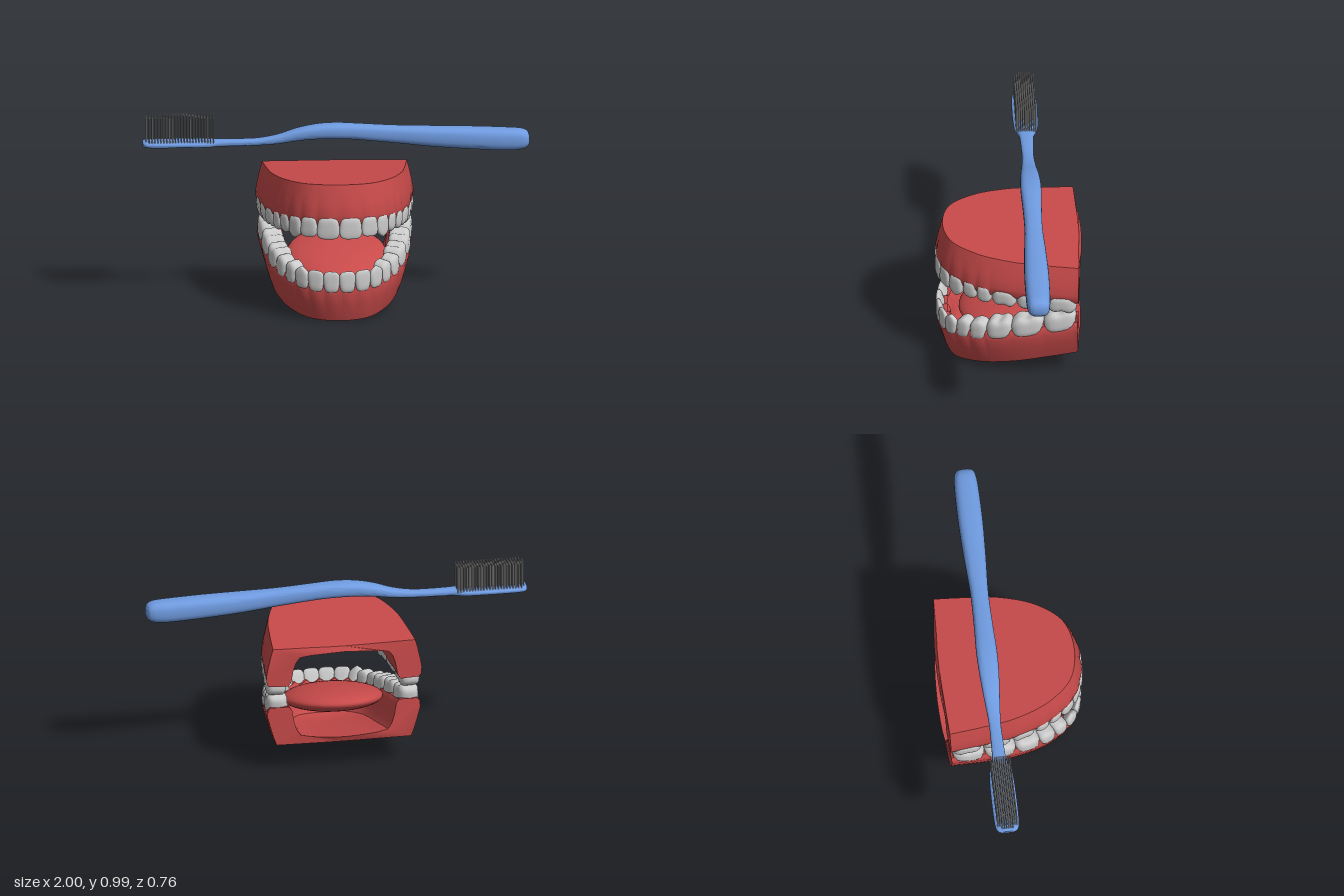
import * as THREE from 'three';
import { mergeGeometries, mergeVertices, toCreasedNormals } from 'three/addons/utils/BufferGeometryUtils.js';

const V = (x, y, z) => new THREE.Vector3(x, y, z);
const { lerp, smoothstep } = THREE.MathUtils;
const mat = (color) => new THREE.MeshStandardMaterial({ color });
const gumMat = mat(0xc84a4a), toothMat = mat(0xcccccc), brushMat = mat(0x6f9be0), bristleMat = mat(0xcccccc);

function add(group, name, geometry, material) {
  const mesh = new THREE.Mesh(geometry, material);
  mesh.name = name;
  group.add(mesh);
  return mesh;
}

// Surface through rows of points, with optional extra triangles [row, a, b, c]
function grid(rows, flip = false, caps = []) {
  const n = rows[0].length, index = [];
  const tri = (a, b, c) => (flip ? index.push(a, c, b) : index.push(a, b, c));
  for (let i = 0; i < rows.length - 1; i++) {
    for (let j = 0; j < n - 1; j++) {
      const a = i * n + j, b = a + n;
      tri(a, b, a + 1);
      tri(b, b + 1, a + 1);
    }
  }
  caps.forEach(([r, a, b, c]) => index.push(r * n + a, r * n + b, r * n + c));
  const g = new THREE.BufferGeometry().setFromPoints(rows.flat());
  g.setIndex(index);
  return g;
}

// Dental arch seen from above, from the right end to the left end
const half = [[0.41, -0.35], [0.395, -0.18], [0.37, 0], [0.3, 0.19], [0.18, 0.328]];
const arch = new THREE.CatmullRomCurve3([
  ...half.map(([x, z]) => V(-x, 0, z)), V(0, 0, 0.373), ...half.reverse().map(([x, z]) => V(x, 0, z)),
]);
arch.arcLengthDivisions = 600;
const halfLength = arch.getLength() / 2;

// dir is the way the teeth point; base and gum are heights [at z = 0, slope in z]
const jaws = {
  upper: {
    dir: -1, size: 1, base: [0.712, 0.068], gum: [0.513, 0.065],
    profile: [[0.036, 0], [0.024, 0.22], [0.012, 0.5], [0.003, 0.78], [0.006, 0.95]],
    widths: [0.115, 0.09, 0.085, 0.08, 0.08, 0.13, 0.15, 0.155],
    heights: [0.085, 0.075, 0.088, 0.08, 0.08, 0.075, 0.075, 0.078],
  },
  lower: {
    dir: 1, size: 0.985, base: [0.075, -0.22], gum: [0.275, -0.22],
    profile: [[0.05, 0], [0.034, 0.22], [0.018, 0.5], [0.004, 0.8], [0.006, 0.95]],
    widths: [0.08, 0.08, 0.078, 0.08, 0.09, 0.13, 0.16, 0.16],
    heights: [0.08, 0.08, 0.085, 0.085, 0.083, 0.083, 0.085, 0.085],
  },
};

// Point, outward direction and fraction from the middle at arc distance s (negative = right)
function frame(jaw, s) {
  const u = THREE.MathUtils.clamp(0.5 + s / halfLength / 2, 0, 1);
  const p = arch.getPointAt(u), t = arch.getTangentAt(u);
  p.x *= jaw.size; p.z *= jaw.size;
  return { p, out: V(-t.z, 0, t.x), a: Math.abs(s) / halfLength };
}
const height = ([y, slope], z) => y + slope * z;

function toothEdges(jaw) {
  const total = jaw.widths.reduce((a, b) => a + b, 0), k = (halfLength - 0.008) / total;
  const edges = [0];
  jaw.widths.forEach((w) => edges.push(edges.at(-1) + w * k));
  return edges;
}

// Horseshoe gum with its base plate and hollow vault
function gumGeometry(jaw) {
  const edges = toothEdges(jaw), rows = [], N = 200;
  for (let i = 0; i <= N; i++) {
    const s = (i / N * 2 - 1) * halfLength, { p, out, a } = frame(jaw, s);
    const k = Math.min(7, Math.max(0, edges.findIndex((e) => e > Math.abs(s)) - 1));
    const f = Math.min(1, (Math.abs(s) - edges[k]) / (edges[k + 1] - edges[k]));
    const arc = a > 0.99 ? 0.8 : Math.sin(Math.PI * f), soft = k < 5 ? 1 : 0.4;
    const place = (v, t, extra = 0) => {
      if (v.z < -0.25) v.z -= 0.014 * Math.max(0, 1 - (v.x / 0.25) ** 2) * Math.min(1, (-0.25 - v.z) * 10);
      v.y = lerp(height(jaw.base, v.z), height(jaw.gum, v.z), t) + jaw.dir * extra;
      return v;
    };
    const at = (d, t, extra) => place(p.clone().addScaledVector(out, -d), t, extra);
    const D = 0.07 + 0.06 * smoothstep(a, 0.2, 0.75), papilla = 0.02 * soft * (1 - arc);
    const rim = at(jaw.profile[0][0], 0), vault = at(D + 0.045, 0.25);
    const toCentre = (v, q, t) => place(v.clone().lerp(V(0, 0, Math.min(v.z, 0.1)), q), t);
    rows.push([
      ...[1, 0.75, 0.5, 0.25].map((q) => toCentre(rim, q, 0)),
      ...jaw.profile.map(([d, t]) => at(d - 0.007 * soft * (arc - 0.5) * smoothstep(t, 0.3, 0.8), t, t > 0.9 ? papilla : 0)),
      at(0.018, 1.03, papilla), at(D - 0.015, 1.03, papilla), at(D, 0.93, papilla * 0.6),
      at(D + 0.012, 0.6), at(D + 0.025, 0.4), vault,
      ...[0.25, 0.5, 0.75, 1].map((q) => toCentre(vault, q, 0.25 - 0.12 * Math.sqrt(q))),
    ]);
  }
  // Flat back faces, turned to face the rear
  const caps = [];
  for (const r of [0, N]) {
    const flat = rows[r].map((v) => new THREE.Vector2(v.x, v.y));
    for (const [a, b, c] of THREE.ShapeUtils.triangulateShape(flat, [])) {
      const turn = flat[b].clone().sub(flat[a]).cross(flat[c].clone().sub(flat[a]));
      caps.push(turn > 0 ? [r, a, c, b] : [r, a, b, c]);
    }
  }
  return toCreasedNormals(grid(rows, jaw.dir < 0, caps), 0.65);
}

// Rounded block shaped into an incisor, canine, premolar or molar
function toothGeometry(kind, w, h, depth) {
  let g = new THREE.SphereGeometry(1, 24, 16);
  g.deleteAttribute('uv');
  g.deleteAttribute('normal');
  g = mergeVertices(g);
  const pos = g.attributes.position, v = V();
  for (let i = 0; i < pos.count; i++) {
    v.fromBufferAttribute(pos, i);
    const { x, y, z } = v.divideScalar((Math.abs(v.x) ** 3.6 + Math.abs(v.y) ** 3.6 + Math.abs(v.z) ** 3.6) ** (1 / 3.6));
    const q = (y + 1) / 2;
    let Y = lerp(-0.035, h, q), X = x * w / 2 * (0.86 + 0.16 * q), Z = z * depth / 2 * (1 - 0.12 * q);
    if (kind < 3) Z = depth / 2 * (1 - (1 - z) * (1 - 0.62 * q));
    if (kind === 2) Y -= 0.022 * q * Math.abs(x);
    if (kind === 3 || kind === 4) Y -= 0.012 * q * (Math.abs(x) + 0.6 * (1 - z * z));
    if (kind > 4) Y -= 0.006 * q * (Math.cos(2 * Math.PI * x) + 1.5 * (1 - z * z));
    pos.setXYZ(i, X, Y, Z);
  }
  return g;
}

function buildJaw(name, jaw) {
  const group = new THREE.Group();
  group.name = name;
  add(group, 'gum', gumGeometry(jaw), gumMat);
  const edges = toothEdges(jaw), names = ['centralIncisor', 'lateralIncisor', 'canine', 'frontPremolar', 'backPremolar', 'frontMolar', 'middleMolar', 'backMolar'];
  for (const side of [-1, 1]) {
    names.forEach((label, k) => {
      const { p, out } = frame(jaw, side * (edges[k] + edges[k + 1]) / 2);
      const depth = [0.06, 0.06, 0.075, 0.085, 0.09, 0.115, 0.12, 0.12][k];
      const up = V(0, jaw.dir, 0), along = up.clone().cross(out);
      const g = toothGeometry(k, (edges[k + 1] - edges[k]) * 1.02, jaw.heights[k], depth);
      g.applyMatrix4(new THREE.Matrix4().makeBasis(along, up, out).setPosition(p.addScaledVector(out, 0.005 - depth / 2)));
      // Follow the slope of the gum line
      const pos = g.attributes.position;
      for (let i = 0; i < pos.count; i++) pos.setY(i, pos.getY(i) + height(jaw.gum, pos.getZ(i)));
      g.computeVertexNormals();
      add(group, (side < 0 ? 'right ' : 'left ') + label, g, toothMat);
    });
  }
  return group;
}

function buildBrush() {
  const group = new THREE.Group(), zc = -0.122;
  group.name = 'toothbrush';
  // Handle stations: x, underside, top, half width
  const stations = [
    [-1, 0.836, 0.858, 0.035], [-0.99, 0.832, 0.862, 0.052], [-0.95, 0.83, 0.863, 0.064], [-0.8, 0.83, 0.864, 0.066],
    [-0.67, 0.83, 0.865, 0.06], [-0.61, 0.831, 0.866, 0.038], [-0.5, 0.832, 0.866, 0.032], [-0.4, 0.834, 0.87, 0.031],
    [-0.3, 0.842, 0.888, 0.038], [-0.2, 0.857, 0.92, 0.047], [-0.1, 0.866, 0.94, 0.053], [0, 0.867, 0.946, 0.054],
    [0.1, 0.862, 0.942, 0.05], [0.3, 0.842, 0.931, 0.047], [0.5, 0.821, 0.925, 0.057], [0.7, 0.807, 0.92, 0.064],
    [0.88, 0.798, 0.913, 0.063], [0.96, 0.803, 0.907, 0.057], [0.99, 0.818, 0.892, 0.045], [1, 0.835, 0.872, 0.025],
  ];
  const heights = new THREE.CatmullRomCurve3(stations.map(([x, lo, hi]) => V(x, lo, hi)), false, 'catmullrom');
  const widths = new THREE.CatmullRomCurve3(stations.map(([x, , , w]) => V(x, w, 0)), false, 'catmullrom');
  const ring = (t, k) => {
    const { x, y: lo, z: hi } = heights.getPoint(t), w = widths.getPoint(t).y * k;
    return Array.from({ length: 29 }, (_, j) => {
      const c = Math.cos(j / 14 * Math.PI), s = Math.sin(j / 14 * Math.PI);
      const round = (q) => Math.sign(q) * Math.abs(q) ** 0.7;
      return V(x, (lo + hi) / 2 + (hi - lo) / 2 * k * round(s), zc + w * round(c));
    });
  };
  const rows = [ring(0, 0), ...Array.from({ length: 77 }, (_, i) => ring(i / 76, 1)), ring(1, 0)];
  add(group, 'handle', toCreasedNormals(grid(rows), 0.8), brushMat);
  // Bristles in rows, leaving out the corners at the tip
  const bristles = [];
  for (let i = 0; i < 24; i++) {
    for (let j = 0; j < 10; j++) {
      if (i === 0 && (j < 2 || j > 7)) continue;
      bristles.push(new THREE.CylinderGeometry(0.0032, 0.0032, 0.135, 6).translate(-0.982 + i * 0.0151, 0.9235, zc + (j - 4.5) * 0.011));
    }
  }
  add(group, 'bristles', mergeGeometries(bristles), bristleMat);
  return group;
}

export function createModel() {
  const model = new THREE.Group();
  model.name = 'jaws with toothbrush';
  const lower = buildJaw('lowerJaw', jaws.lower);
  // Tongue lying in the lower arch, tilted with it
  const tongue = add(lower, 'tongue', new THREE.SphereGeometry(1, 40, 24), gumMat);
  tongue.scale.set(0.26, 0.065, 0.29);
  tongue.position.set(0, 0.272, -0.03);
  tongue.rotation.x = 0.217;
  model.add(lower, buildJaw('upperJaw', jaws.upper), buildBrush());
  return model;
}
